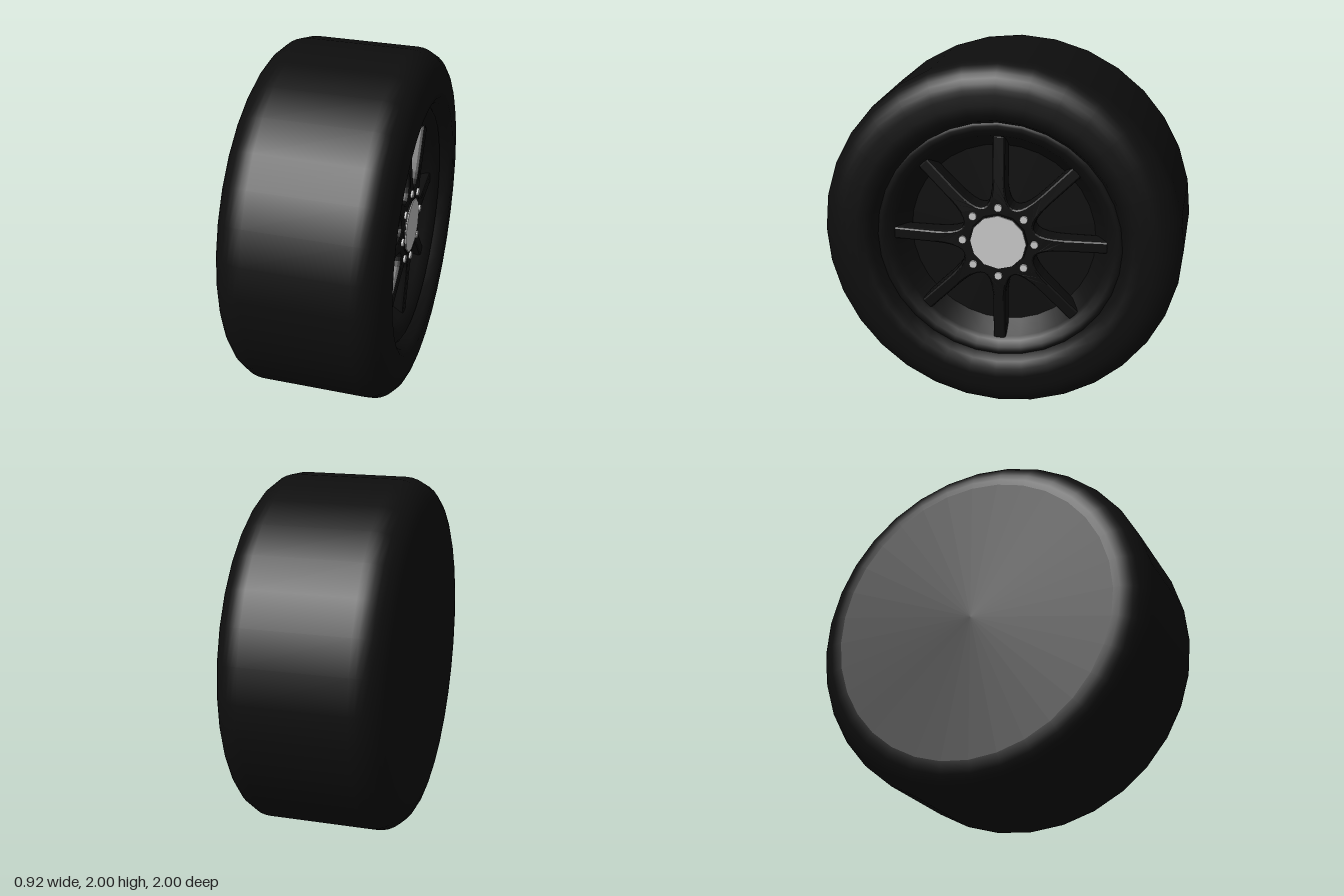
import * as THREE from 'three';

const black = new THREE.MeshStandardMaterial({ color: 0x0e0e0e });
const grey = new THREE.MeshStandardMaterial({ color: 0xcccccc });

// All parts are built around the y axis; the group is then tipped so +y becomes +x.
export function createModel() {
  const model = new THREE.Group();
  model.name = 'wheel';
  const axle = new THREE.Group();
  axle.name = 'wheelAssembly';
  axle.rotation.z = -Math.PI / 2;
  axle.position.y = 1;
  model.add(axle);

  const add = (name, geometry, material, x = 0, y = 0, z = 0) => {
    const mesh = new THREE.Mesh(geometry, material);
    mesh.name = name;
    mesh.position.set(x, y, z);
    axle.add(mesh);
    return mesh;
  };
  const lathe = (points) =>
    new THREE.LatheGeometry(points.map(([r, y]) => new THREE.Vector2(r, y)), 32);
  // Quarter round between the sidewall and the tread
  const shoulder = (r, y, radius, from, to) =>
    Array.from({ length: 9 }, (_, i) => {
      const a = from + ((to - from) * i) / 8;
      return [r + Math.cos(a) * radius, y + Math.sin(a) * radius];
    });

  // Tyre: rounded shoulders, sidewall dipping in to the rim
  add('tyre', lathe([
    ...shoulder(0.82, -0.28, 0.18, -Math.PI / 2, 0),
    ...shoulder(0.845, 0.3, 0.155, 0, Math.PI / 2),
    [0.79, 0.46], [0.74, 0.46], [0.705, 0.435], [0.68, 0.385],
  ]), black);

  // Closed inner side
  add('innerSide', lathe([[0, -0.46], [0.82, -0.46]]), black);

  // Rim lip and tapering barrel
  add('rim', lathe([
    [0.68, 0.385], [0.665, 0.395], [0.64, 0.388], [0.605, 0.37],
    [0.59, 0.345], [0.52, 0.25],
  ]), black);
  add('backPlate', lathe([[0.525, 0.25], [0, 0.25]]), black);

  // Eight spokes in one star, with fillets between neighbours
  const star = new THREE.Shape();
  const count = 8, half = 0.024, tip = 0.59, root = 0.36;
  const at = (angle, along, side) => [
    along * Math.cos(angle) - side * Math.sin(angle),
    along * Math.sin(angle) + side * Math.cos(angle),
  ];
  star.moveTo(...at(0, root, -half));
  for (let i = 0; i < count; i++) {
    const a = (i / count) * Math.PI * 2;
    const next = a + (Math.PI * 2) / count;
    star.lineTo(...at(a, tip, -half));
    star.lineTo(...at(a, tip, half));
    star.lineTo(...at(a, root, half));
    star.quadraticCurveTo(
      ...at(a + Math.PI / count, half / Math.sin(Math.PI / count), 0),
      ...at(next, root, -half));
  }
  const spokes = new THREE.ExtrudeGeometry(star, {
    depth: 0.08, bevelEnabled: true, bevelThickness: 0.02, bevelSize: 0.012,
    bevelSegments: 2, curveSegments: 10,
  });
  spokes.rotateX(-Math.PI / 2);
  spokes.translate(0, 0.275, 0);
  // Spokes fall back slightly towards the rim
  const p = spokes.attributes.position;
  for (let i = 0; i < p.count; i++) {
    const r = Math.hypot(p.getX(i), p.getZ(i));
    if (p.getY(i) > 0.3) p.setY(i, p.getY(i) - 0.06 * Math.max(0, r - 0.25));
  }
  spokes.computeVertexNormals();
  add('spokes', spokes, black);

  // Hub cap inside a thin dark collar
  add('hubCollar', new THREE.CylinderGeometry(0.163, 0.17, 0.03, 12), black, 0, 0.366, 0);
  add('hubCap', new THREE.CylinderGeometry(0.155, 0.155, 0.04, 12), grey, 0, 0.367, 0);

  // Wheel bolts, one at the root of each spoke
  for (let i = 0; i < count; i++) {
    const a = (i / count) * Math.PI * 2;
    add('bolt', new THREE.CylinderGeometry(0.022, 0.022, 0.04, 12), grey,
      0.2 * Math.cos(a), 0.367, 0.2 * Math.sin(a));
  }
  return model;
}
